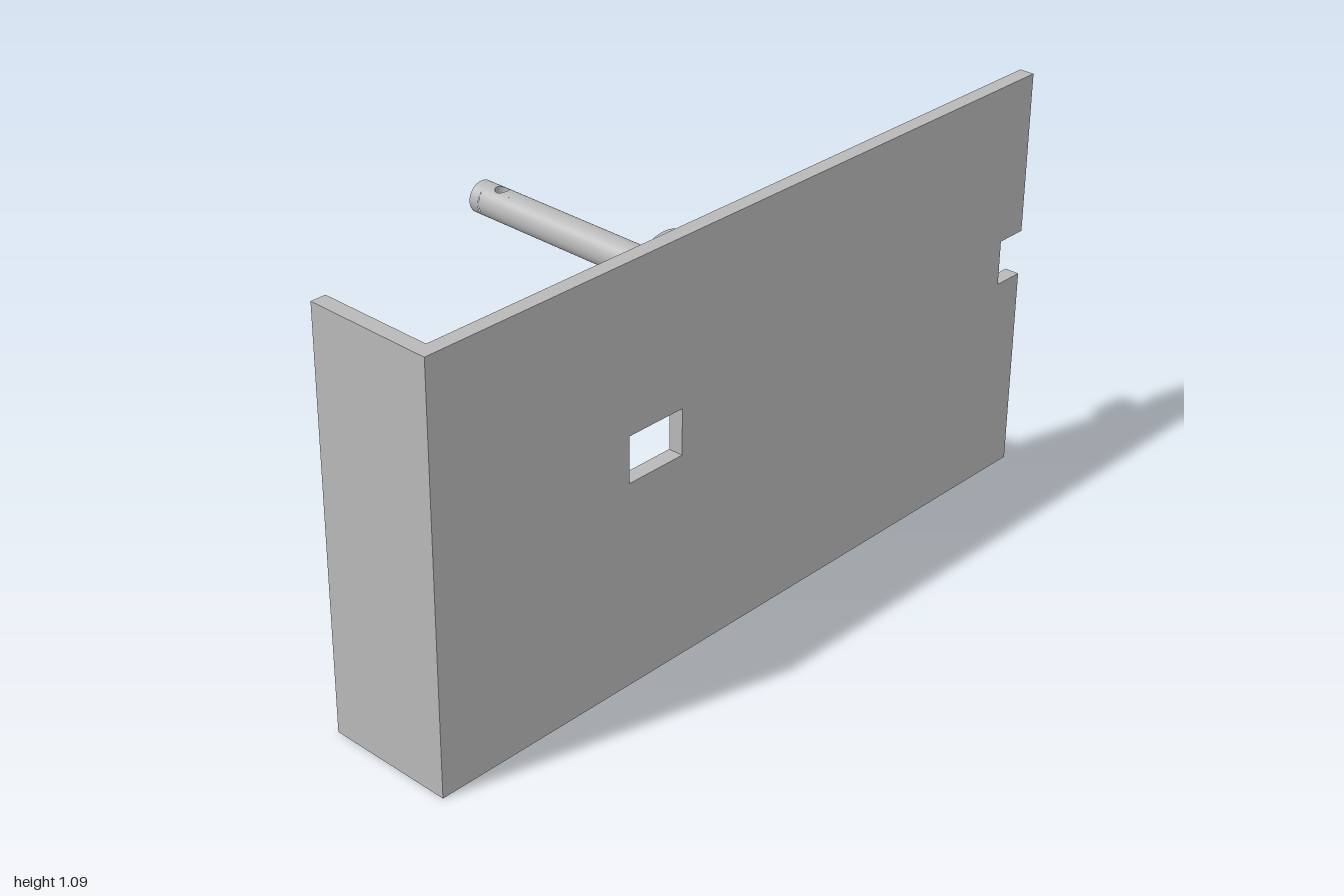
import * as THREE from 'three';
import { toCreasedNormals } from 'three/addons/utils/BufferGeometryUtils.js';

export function createModel() {
  const model = new THREE.Group();
  model.name = 'mountingBracket';
  const grey = new THREE.MeshStandardMaterial({ color: 0xb8b8b8 });
  grey.name = 'plain grey';

  const add = (name, geometry, parent = model) => {
    const mesh = new THREE.Mesh(geometry, grey);
    mesh.name = name;
    parent.add(mesh);
    return mesh;
  };
  const polygon = (points, Type = THREE.Shape) => new Type(points.map(([x, y]) => new THREE.Vector2(x, y)));
  const rect = (x0, x1, y0, y1) => polygon([[x0, y0], [x1, y0], [x1, y1], [x0, y1]], THREE.Path);
  const box = (x0, x1, y0, y1, z0, z1) => new THREE.BoxGeometry(x1 - x0, y1 - y0, z1 - z0)
    .translate((x0 + x1) / 2, (y0 + y1) / 2, (z0 + z1) / 2);
  // Extrude an outline drawn in x and z from y0 up to y1
  const slab = (shape, y0, y1) => new THREE.ExtrudeGeometry(shape, { depth: y1 - y0, bevelEnabled: false, curveSegments: 16 })
    .rotateX(Math.PI / 2).translate(0, y1, 0);
  // Hollow round boss standing on the plate and pointing to -x
  const boss = (outer, inner, length, y, z) => {
    const profile = [[inner, 0], [outer, 0], [outer, length], [inner, length], [inner, 0]]
      .map(([r, h]) => new THREE.Vector2(r, h));
    return toCreasedNormals(new THREE.LatheGeometry(profile, 48), 0.6)
      .rotateZ(Math.PI / 2).translate(INNER, y, z);
  };

  const INNER = 0.353, OUTER = 0.392, HEIGHT = 1.085;

  // Upright plate with a window and an edge notch (outline drawn in -z and y)
  const outline = polygon([[-1, 0], [1, 0], [1, 0.54], [0.915, 0.54], [0.915, 0.66], [1, 0.66], [1, HEIGHT], [-1, HEIGHT]]);
  outline.holes.push(rect(-0.42, -0.25, 0.54, 0.66));
  add('plate', new THREE.ExtrudeGeometry(outline, { depth: OUTER - INNER, bevelEnabled: false })
    .rotateY(Math.PI / 2).translate(INNER, 0, 0));
  add('frontFlange', box(0.047, INNER, 0, HEIGHT, 0.96, 1));

  // Pegs above and below the notch
  for (const y of [0.85, 0.35]) add('peg', boss(0.053, 0.028, 0.1, y, -0.725));

  // Block beside the window
  add('windowBlock', box(0.24, INNER, 0.515, 0.685, 0.425, 0.565));

  // Open tray with a slot and two screw holes in its floor
  const tray = new THREE.Group();
  tray.name = 'tray';
  model.add(tray);
  const floor = polygon([[0.117, 0.395], [INNER, 0.395], [INNER, 0.88], [0.117, 0.88]]);
  floor.holes.push(rect(0.155, 0.285, 0.51, 0.765));
  for (const z of [0.47, 0.805]) floor.holes.push(new THREE.Path().absarc(0.22, z, 0.016, 0, Math.PI * 2));
  add('trayFloor', slab(floor, 0, 0.035), tray);
  add('trayWalls', slab(polygon([[INNER, 0.395], [0.117, 0.395], [0.117, 0.88], [INNER, 0.88],
    [INNER, 0.855], [0.142, 0.855], [0.142, 0.42], [INNER, 0.42]]), 0.035, 0.21), tray);

  // Collar around the rod
  const Y = 0.875, Z = 0.108, R = 0.041;
  add('collar', boss(0.108, 0.072, INNER - 0.2, Y, Z));

  // Rod with a cross hole near its tip
  const rod = new THREE.Group();
  rod.name = 'rod';
  rod.position.set(0, Y, Z);
  model.add(rod);
  const holeX = -0.327, holeR = 0.017, tip = -0.397;
  const length = (x0, x1) => new THREE.CylinderGeometry(R, R, x1 - x0, 64, 1, true)
    .rotateZ(Math.PI / 2).translate((x0 + x1) / 2, 0, 0);
  add('rodShaft', length(holeX + R, INNER), rod);
  add('rodTip', length(tip, holeX - R), rod);
  add('rodEnd', new THREE.CircleGeometry(R, 64).rotateY(-Math.PI / 2).translate(tip, 0, 0), rod);

  // Half shell around the hole: rings run from the hole rim out to a square, bent over the rod
  const shell = new THREE.PlaneGeometry(1, 1, 64, 8);
  const pos = shell.attributes.position, normal = shell.attributes.normal;
  for (let i = 0; i < pos.count; i++) {
    const a = (pos.getX(i) + 0.5) * Math.PI * 2, v = pos.getY(i) + 0.5;
    const c = Math.cos(a), s = Math.sin(a);
    const edge = R / Math.max(Math.abs(c), Math.abs(s));
    const d = holeR + (edge - holeR) * v;
    const z = s * d, y = Math.sqrt(Math.max(0, R * R - z * z));
    pos.setXYZ(i, c * d, y, z);
    normal.setXYZ(i, 0, y / R, z / R);
  }
  for (const turn of [0, Math.PI]) {
    const half = add('rodHoleShell', shell, rod);
    half.position.x = holeX;
    half.rotation.x = turn;
  }

  // Wall of the cross hole, facing inward and trimmed to the rod surface
  const wall = new THREE.CylinderGeometry(holeR, holeR, 2, 64, 1, true);
  const wp = wall.attributes.position;
  for (let i = 0; i < wp.count; i++) wp.setY(i, Math.sign(wp.getY(i)) * Math.sqrt(R * R - wp.getZ(i) ** 2));
  wall.scale(-1, 1, 1);
  add('rodHoleWall', wall, rod).position.x = holeX;

  return model;
}
